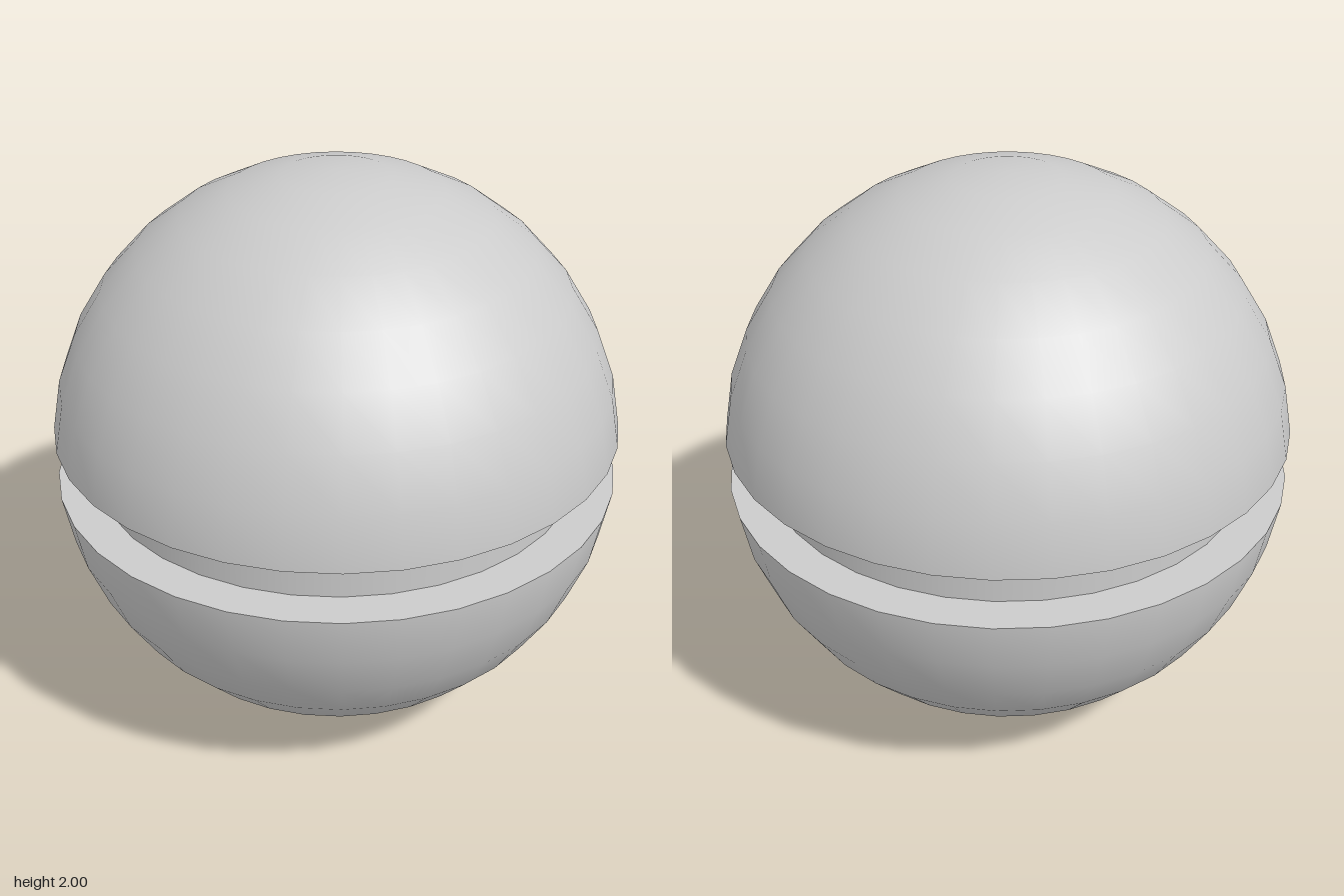
import * as THREE from 'three';

const SIDES = 34;
const RINGS = 17; // odd, so the middle ring of faces becomes the groove
const GROOVE_RADIUS = 0.86;

export function createModel() {
  const model = new THREE.Group();
  const material = new THREE.MeshStandardMaterial({ color: 0xcccccc });

  const add = (name, geometry, y) => {
    const mesh = new THREE.Mesh(geometry, material);
    mesh.name = name;
    mesh.position.y = y;
    model.add(mesh);
    return mesh;
  };

  const step = Math.PI / RINGS;
  const span = step * (RINGS - 1) / 2; // polar angle from pole to groove edge
  const rimRadius = Math.sin(span);
  const halfGap = Math.cos(span);

  for (const [side, sign] of [['upper', 1], ['lower', -1]]) {
    // Smooth domed shell, turned so a corner points along z
    const start = sign > 0 ? 0 : Math.PI - span;
    const dome = new THREE.SphereGeometry(1, SIDES, (RINGS - 1) / 2, 0, Math.PI * 2, start, span);
    dome.rotateY(Math.PI / 2);
    add(side + 'Dome', dome, 1);

    // Flat ledge facing into the groove
    const ledge = new THREE.RingGeometry(GROOVE_RADIUS, rimRadius, SIDES, 1, Math.PI / 2);
    ledge.rotateX(sign * Math.PI / 2);
    add(side + 'Ledge', ledge, 1 + sign * halfGap);
  }

  // Recessed band joining the two halves
  add('grooveBand', new THREE.CylinderGeometry(
    GROOVE_RADIUS, GROOVE_RADIUS, halfGap * 2, SIDES, 1, true), 1);

  return model;
}
